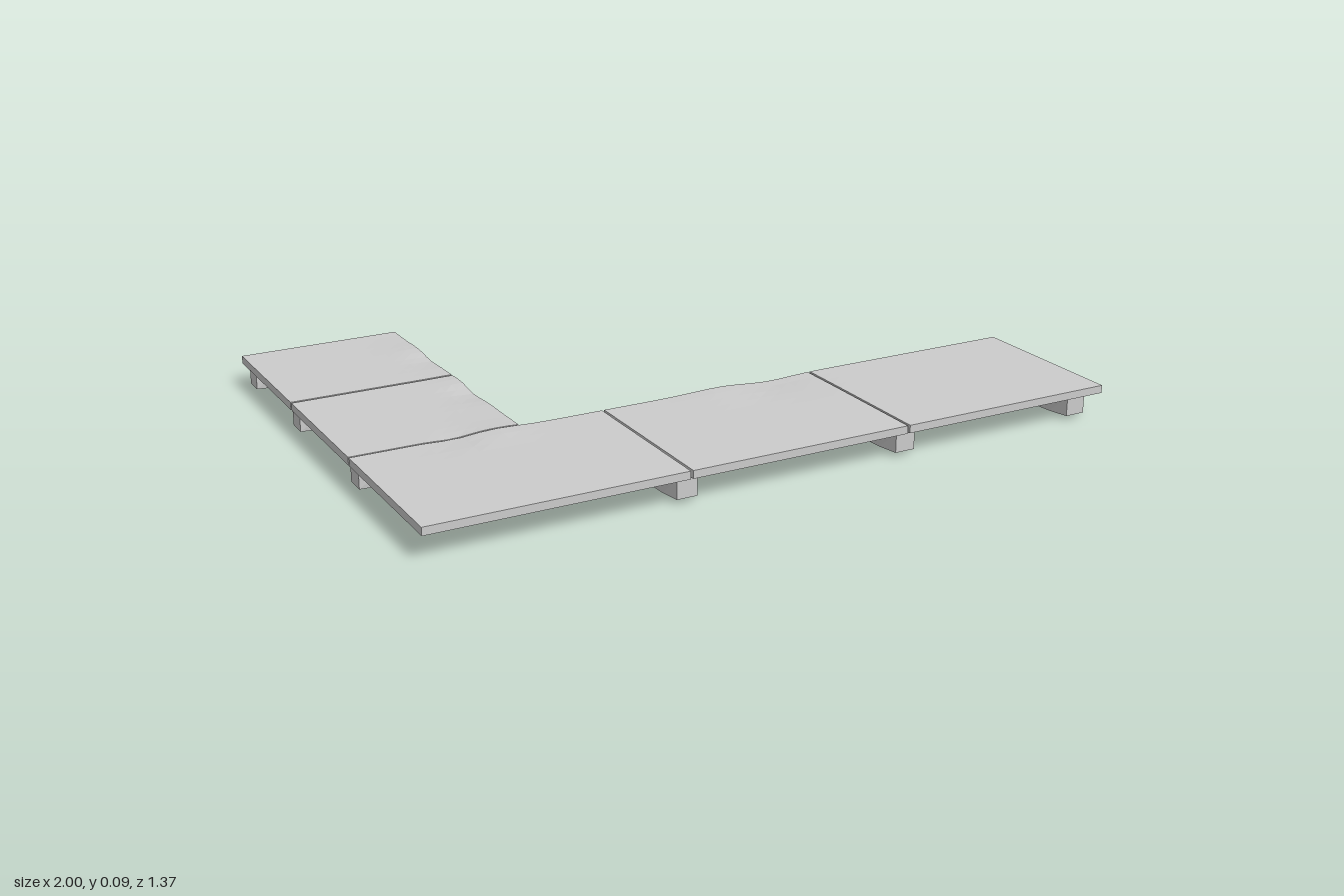
import * as THREE from 'three';

const material = new THREE.MeshStandardMaterial({ color: 0xcccccc, flatShading: true });

// Worn spots on the decking: [x, z, radius, height]
const WARPS = [
  [0.06, 0.22, 0.10, 0.005],
  [0.22, 0.21, 0.09, -0.006],
  [-0.60, 0.22, 0.08, 0.005],
  [-0.72, 0.21, 0.05, -0.004],
  [-0.54, -0.09, 0.07, -0.007],
  [-0.54, -0.18, 0.05, 0.004],
  [-0.54, -0.50, 0.07, 0.004],
  [-0.54, -0.40, 0.06, -0.005],
];

function warpAt(x, z) {
  let y = 0;
  for (const [wx, wz, r, h] of WARPS) {
    y += h * Math.exp(-((x - wx) ** 2 + (z - wz) ** 2) / (r * r));
  }
  return y;
}

function reshape(geometry, rule) {
  const p = geometry.attributes.position;
  const v = new THREE.Vector3();
  for (let i = 0; i < p.count; i++) {
    v.fromBufferAttribute(p, i);
    rule(v);
    p.setXYZ(i, v.x, v.y, v.z);
  }
  geometry.computeVertexNormals();
  return geometry;
}

// Thin slab with a gently worn surface
function deckSlab(x0, x1, z0, z1) {
  const geo = new THREE.BoxGeometry(x1 - x0, 0.022, z1 - z0, 14, 1, 12);
  geo.translate((x0 + x1) / 2, 0.081, (z0 + z1) / 2);
  return new THREE.Mesh(reshape(geo, (v) => { v.y += warpAt(v.x, v.z); }), material);
}

// Rough hewn joist along z: square ends, twisted and sagging in the middle
function joist(length, twist) {
  const geo = new THREE.BoxGeometry(0.058, 0.054, length, 1, 1, 6);
  return new THREE.Mesh(reshape(geo, (v) => {
    const t = v.z / length + 0.5;
    const bend = Math.sin(Math.PI * t);
    const a = twist * bend;
    const { x, y } = v;
    v.x = x * Math.cos(a) - y * Math.sin(a) + 0.006 * Math.sin(2 * Math.PI * t);
    v.y = x * Math.sin(a) + y * Math.cos(a) - 0.007 * bend;
  }), material);
}

export function createModel() {
  const model = new THREE.Group();

  // Deck: three slabs along the front, two running back on one side
  const deck = new THREE.Group();
  deck.name = 'deck';
  const slabs = [
    [-1, -0.295, 0.203, 0.685],
    [-0.288, 0.351, 0.203, 0.685],
    [0.358, 1, 0.203, 0.685],
    [-1, -0.535, -0.244, 0.198],
    [-1, -0.535, -0.688, -0.251],
  ];
  slabs.forEach((s, i) => {
    const slab = deckSlab(...s);
    slab.name = `deckSlab${i + 1}`;
    deck.add(slab);
  });
  model.add(deck);

  // Joists under the front run
  const joists = new THREE.Group();
  joists.name = 'joists';
  [-0.297, 0.355, 0.923].forEach((x, i) => {
    const beam = joist(0.43, 0.22);
    beam.position.set(x, 0.043, 0.455);
    beam.name = `frontRunJoist${i + 1}`;
    joists.add(beam);
  });

  // Joists under the side run
  [0.205, -0.247, -0.63].forEach((z, i) => {
    const beam = joist(0.435, 0.22);
    beam.rotation.y = Math.PI / 2;
    beam.position.set(-0.77, 0.043, z);
    beam.name = `sideRunJoist${i + 1}`;
    joists.add(beam);
  });
  model.add(joists);

  return model;
}
